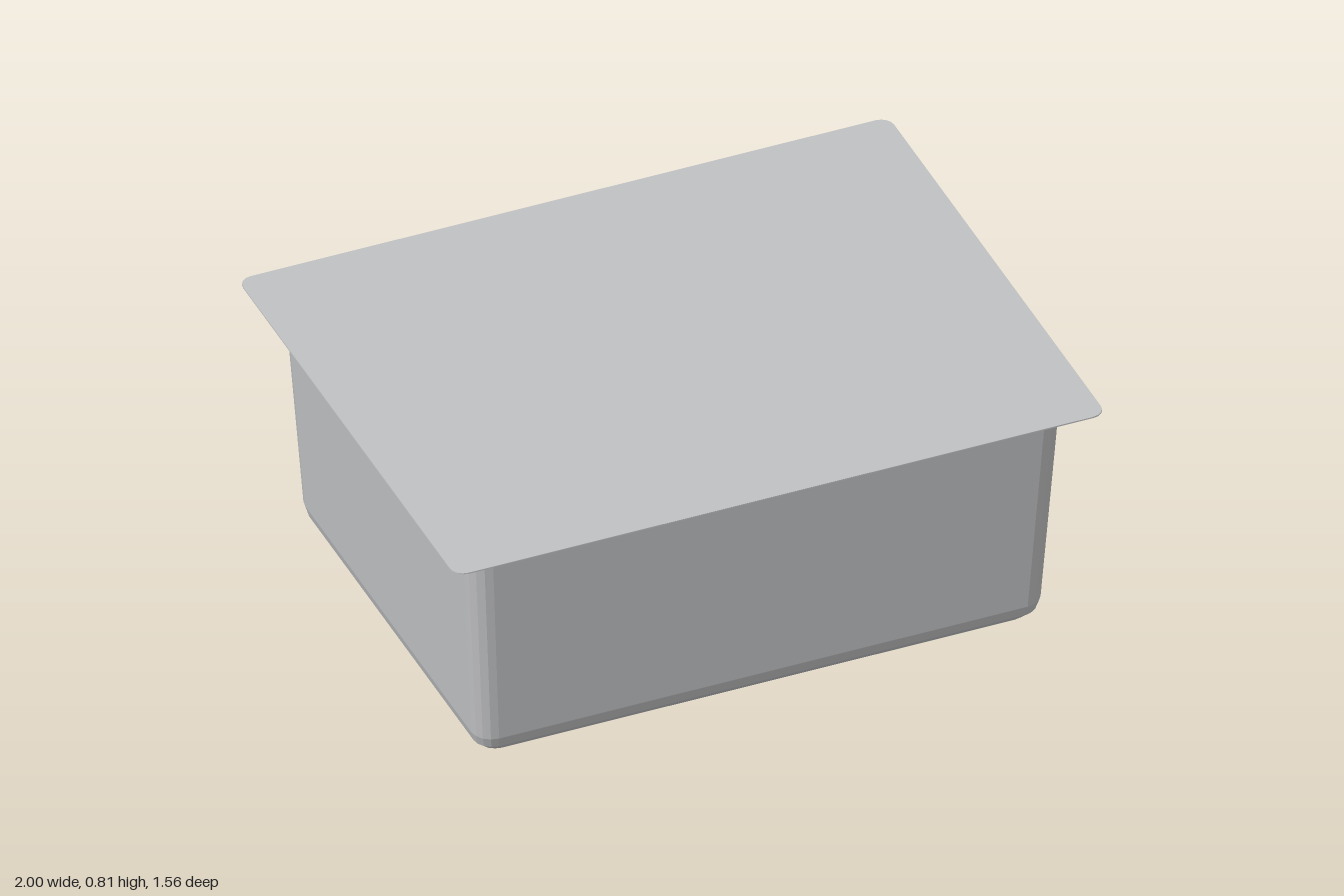
import * as THREE from 'three';

const CORNER_STEPS = 4;

// Rounded rectangle outline at height y: [half width, half depth, corner radius, y]
function ring([hx, hz, r, y]) {
  const points = [];
  const corners = [[1, 1], [-1, 1], [-1, -1], [1, -1]];
  corners.forEach(([sx, sz], q) => {
    for (let i = 0; i <= CORNER_STEPS; i++) {
      const a = (q + i / CORNER_STEPS) * Math.PI / 2;
      points.push([sx * (hx - r) + r * Math.cos(a), y, sz * (hz - r) + r * Math.sin(a)]);
    }
  });
  return points;
}

// Skin a list of outlines, ordered from top to bottom
function loft(sections) {
  const rings = sections.map(ring);
  const n = rings[0].length;
  const positions = [];
  for (let k = 0; k < rings.length - 1; k++) {
    for (let i = 0; i < n; i++) {
      const j = (i + 1) % n;
      const a = rings[k][i], b = rings[k][j];
      const c = rings[k + 1][i], d = rings[k + 1][j];
      positions.push(...a, ...b, ...c, ...b, ...d, ...c);
    }
  }
  const geometry = new THREE.BufferGeometry();
  geometry.setAttribute('position', new THREE.Float32BufferAttribute(positions, 3));
  geometry.computeVertexNormals();
  return geometry;
}

export function createModel() {
  const steel = new THREE.MeshStandardMaterial({
    color: 0xc0c1c3, flatShading: true, side: THREE.DoubleSide,
  });
  steel.name = 'brushedSteel';

  const model = new THREE.Group();
  model.name = 'sinkBasin';
  const add = (name, geometry) => {
    const mesh = new THREE.Mesh(geometry, steel);
    mesh.name = name;
    model.add(mesh);
  };

  // Thin flat top sheet with small rounded corners
  add('topSheet', loft([
    [0, 0, 0, 0.806],
    [1, 0.782, 0.04, 0.806],
    [1, 0.782, 0.04, 0.802],
    [0, 0, 0, 0.802],
  ]));

  // Tapered walls with a small fillet below the sheet
  add('walls', loft([
    [0.922, 0.703, 0.07, 0.802],
    [0.914, 0.697, 0.065, 0.79],
    [0.872, 0.656, 0.06, 0.105],
  ]));

  // Rounded bend between the walls and the floor
  add('lowerBend', loft([
    [0.872, 0.656, 0.06, 0.105],
    [0.862, 0.645, 0.055, 0.07],
    [0.838, 0.62, 0.05, 0.043],
    [0.80, 0.582, 0.045, 0.032],
  ]));

  // Floor falling gently to the drain
  add('floor', loft([
    [0.80, 0.582, 0.045, 0.032],
    [0.2, 0.2, 0.2, 0.02],
  ]));

  // Shallow drain dish under the centre
  add('drain', loft([
    [0.2, 0.2, 0.2, 0.02],
    [0.19, 0.19, 0.19, 0.01],
    [0.14, 0.14, 0.14, 0],
    [0, 0, 0, 0],
  ]));

  return model;
}
